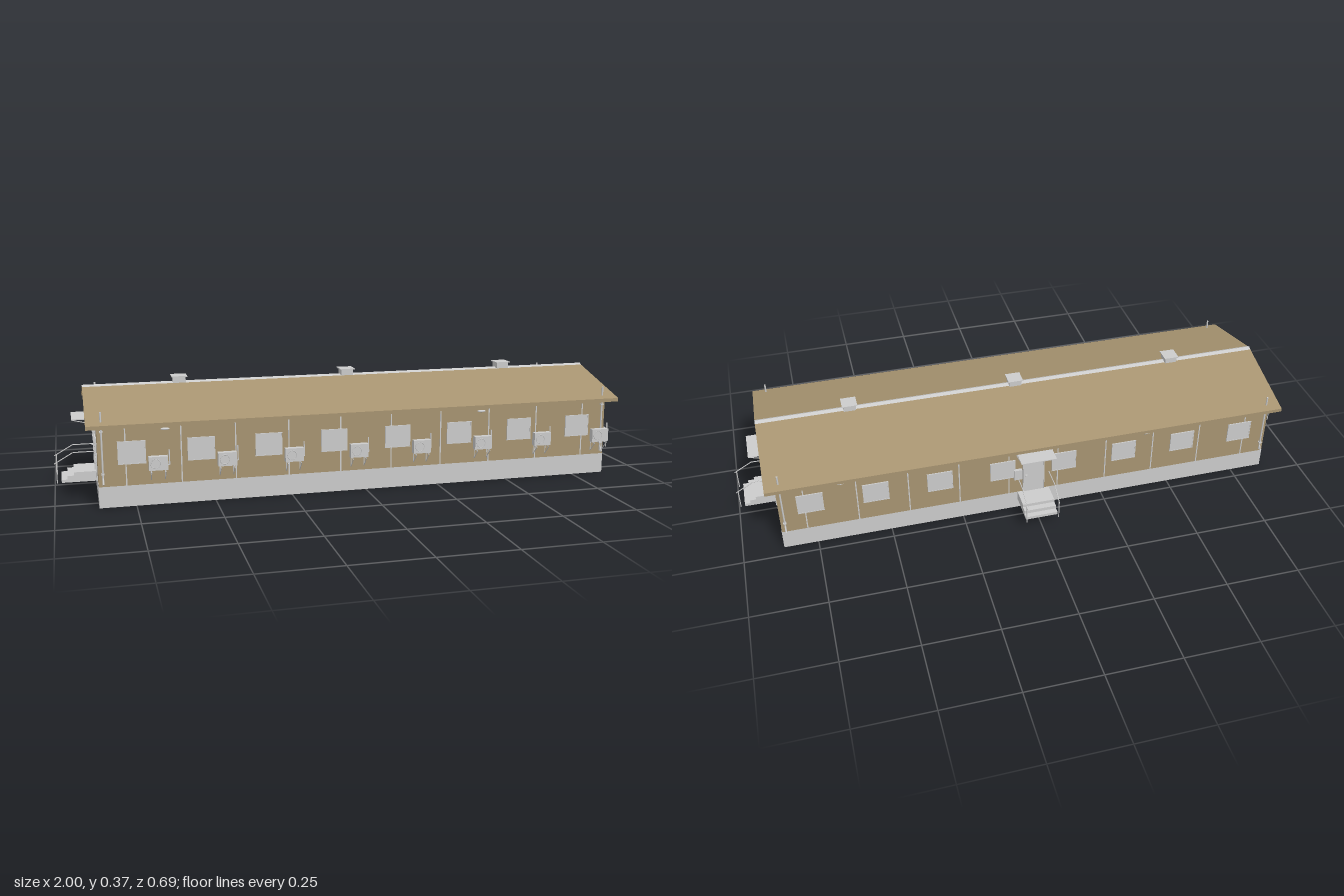
import * as THREE from 'three';

const grey = new THREE.MeshStandardMaterial({ color: 0xcccccc });
const tan = new THREE.MeshStandardMaterial({ color: 0xa79471 });

const HX = 0.865, Z0 = -0.21, Z1 = 0.31, ZC = 0.05; // wall extents and ridge line
const BASE = 0.068, EAVE = 0.27, RIDGE = 0.345;

function mesh(parent, name, geo, mat = grey) {
  const m = new THREE.Mesh(geo, mat);
  m.name = name;
  parent.add(m);
  return m;
}

function box(parent, name, w, h, d, x, y, z, mat) {
  const m = mesh(parent, name, new THREE.BoxGeometry(w, h, d), mat);
  m.position.set(x, y, z);
  return m;
}

// Round bar through a list of points, one straight cylinder per span
function bar(parent, name, r, ...pts) {
  for (let i = 0; i < pts.length - 1; i++) {
    const a = new THREE.Vector3(...pts[i]), b = new THREE.Vector3(...pts[i + 1]);
    const m = mesh(parent, name, new THREE.CylinderGeometry(r, r, a.distanceTo(b), 8));
    m.position.lerpVectors(a, b, 0.5);
    m.quaternion.setFromUnitVectors(new THREE.Vector3(0, 1, 0), b.sub(a).normalize());
  }
}

// Prism along x from a (z, y) outline
function prism(parent, name, outline, length, mat) {
  const s = new THREE.Shape(outline.map(([z, y]) => new THREE.Vector2(-z, y)));
  const g = new THREE.ExtrudeGeometry(s, { depth: length, bevelEnabled: false });
  g.translate(0, 0, -length / 2).rotateY(Math.PI / 2);
  return mesh(parent, name, g, mat);
}

// A group on a wall: local x runs along it, local z points outward
function onWall(parent, name, x, z, angle) {
  const g = new THREE.Group();
  g.name = name;
  g.position.set(x, 0, z);
  g.rotation.y = angle;
  parent.add(g);
  return g;
}

function addWindow(wall, x, w) {
  box(wall, 'windowPane', w, 0.07, 0.004, x, 0.174, 0.001);
  for (const s of [-1, 1]) {
    box(wall, 'windowFrame', w + 0.004, 0.003, 0.006, x, 0.174 + s * 0.0355, 0.001);
    box(wall, 'windowFrame', 0.003, 0.07, 0.006, x + s * w / 2, 0.174, 0.001);
  }
}

function addBatten(wall, x) {
  box(wall, 'wallBatten', 0.004, EAVE - BASE - 0.005, 0.003, x, (BASE + EAVE - 0.005) / 2, 0);
}

// Door, lamp, canopy, steps and handrails
function addEntrance(wall) {
  const e = onWall(wall, 'entrance', 0, 0, 0);
  box(e, 'door', 0.07, 0.155, 0.006, 0, 0.146, 0.001);
  box(e, 'doorFrame', 0.078, 0.003, 0.008, 0, 0.225, 0.001);
  for (const s of [-1, 1]) box(e, 'doorFrame', 0.003, 0.157, 0.008, s * 0.037, 0.146, 0.001);
  box(e, 'doorHandle', 0.008, 0.003, 0.008, -0.027, 0.14, 0.006);
  box(e, 'doorLamp', 0.01, 0.012, 0.012, 0, 0.234, 0.005);
  box(e, 'canopy', 0.122, 0.003, 0.072, 0, 0.245, 0.036);
  for (const s of [-1, 1]) {
    bar(e, 'canopyBrace', 0.0015, [s * 0.058, 0.243, 0.07], [s * 0.058, 0.226, 0], [s * 0.058, 0.244, 0]);
    bar(e, 'handrail', 0.0017, [s * 0.056, 0.135, 0], [s * 0.056, 0.135, 0.072], [s * 0.056, 0.1, 0.133]);
    bar(e, 'railPost', 0.0017, [s * 0.056, 0.035, 0.126], [s * 0.056, 0.104, 0.126]);
  }
  [[0.072, 0.068], [0.093, 0.057], [0.112, 0.045]].forEach(([out, top], i, all) => {
    const from = i ? all[i - 1][0] : 0;
    box(e, 'step', 0.112, top - 0.035, out - from, 0, (top + 0.035) / 2, (out + from) / 2);
  });
}

// Wall-hung cooling unit on a bracket with its pipe
function addCooler(wall, x) {
  const c = onWall(wall, 'coolingUnit', x, 0, 0);
  box(c, 'coolerCase', 0.06, 0.044, 0.02, 0, 0.139, 0.017);
  const fan = mesh(c, 'coolerFan', new THREE.TorusGeometry(0.015, 0.0012, 6, 20));
  fan.position.set(-0.009, 0.139, 0.027);
  for (const s of [-1, 1])
    bar(c, 'coolerBracket', 0.0015, [s * 0.022, 0.113, 0], [s * 0.022, 0.113, 0.03], [s * 0.022, 0.082, 0], [s * 0.022, 0.113, 0]);
  bar(c, 'coolerPipe', 0.002, [0.03, 0.13, 0.014], [0.036, 0.13, 0.008], [0.036, 0.178, 0.003]);
}

// Pole passing the eave at a corner, with an angled foot
function addCornerPole(wall, x) {
  bar(wall, 'cornerPole', 0.003, [x, 0.08, 0.006], [x, 0.308, 0.006]);
  bar(wall, 'poleFoot', 0.003, [x, 0.098, 0.006], [x, 0.079, 0.019]);
  for (const y of [0.11, 0.245]) box(wall, 'poleClamp', 0.01, 0.004, 0.012, x, y, 0.005);
}

export function createModel() {
  const model = new THREE.Group();
  model.name = 'longCabin';

  // Plinth, walls with gables, and the band under the eaves
  box(model, 'plinth', 2 * HX, BASE, Z1 - Z0, 0, BASE / 2, ZC);
  prism(model, 'walls', [[Z1, BASE], [Z0, BASE], [Z0, EAVE], [ZC, RIDGE - 0.006], [Z1, EAVE]], 2 * HX - 0.002, tan);
  box(model, 'eaveBand', 2 * HX + 0.003, 0.008, Z1 - Z0 + 0.003, 0, 0.266, ZC);

  // Roof slopes with drip edges
  const roofLen = 1.794;
  for (const s of [-1, 1]) {
    const edge = ZC + s * 0.293;
    const pts = [[ZC, RIDGE], [edge, 0.27], [edge, 0.258], [edge - s * 0.003, 0.258], [edge - s * 0.003, 0.2645], [ZC, RIDGE - 0.006]];
    prism(model, 'roofSlope', pts, roofLen, tan);
  }
  prism(model, 'ridgeCap', [[ZC + 0.012, 0.3425], [ZC, 0.348], [ZC - 0.012, 0.3425], [ZC, 0.341]], roofLen);

  // Ridge vents
  for (const x of [-0.58, 0, 0.58]) {
    box(model, 'ventBody', 0.042, 0.02, 0.042, x, 0.354, ZC);
    box(model, 'ventLid', 0.052, 0.003, 0.053, x, 0.3655, ZC);
  }

  const front = onWall(model, 'frontWall', 0, Z1, 0);
  const back = onWall(model, 'backWall', 0, Z0, Math.PI);
  const ends = [1, -1].map((s) => onWall(model, 'endWall', s * HX, ZC, s * Math.PI / 2));

  // Long walls
  for (const wall of [front, back]) {
    for (let i = 0; i < 8; i++) addWindow(wall, (i - 3.5) * 0.217, 0.084);
    for (let i = 0; i < 10; i++) addBatten(wall, (i - 4.5) * 0.173);
    for (const x of [-0.85, 0.85]) addCornerPole(wall, x);
    for (const x of [-0.655, 0.4]) {
      const lamp = mesh(wall, 'eaveLamp', new THREE.SphereGeometry(0.015, 16, 8));
      lamp.scale.set(1, 0.25, 0.6);
      lamp.position.set(x, 0.246, 0.012);
    }
  }
  for (let i = 0; i < 8; i++) addCooler(front, -0.68 + i * 0.217);
  addEntrance(back);
  box(back, 'switchBox', 0.028, 0.04, 0.012, -0.056, 0.15, 0.005);

  // End walls
  for (const wall of ends) {
    for (const x of [-0.167, 0.167]) addWindow(wall, x, 0.062);
    for (let i = -2; i <= 2; i++) addBatten(wall, i * 0.087);
    addEntrance(wall);
  }
  return model;
}
